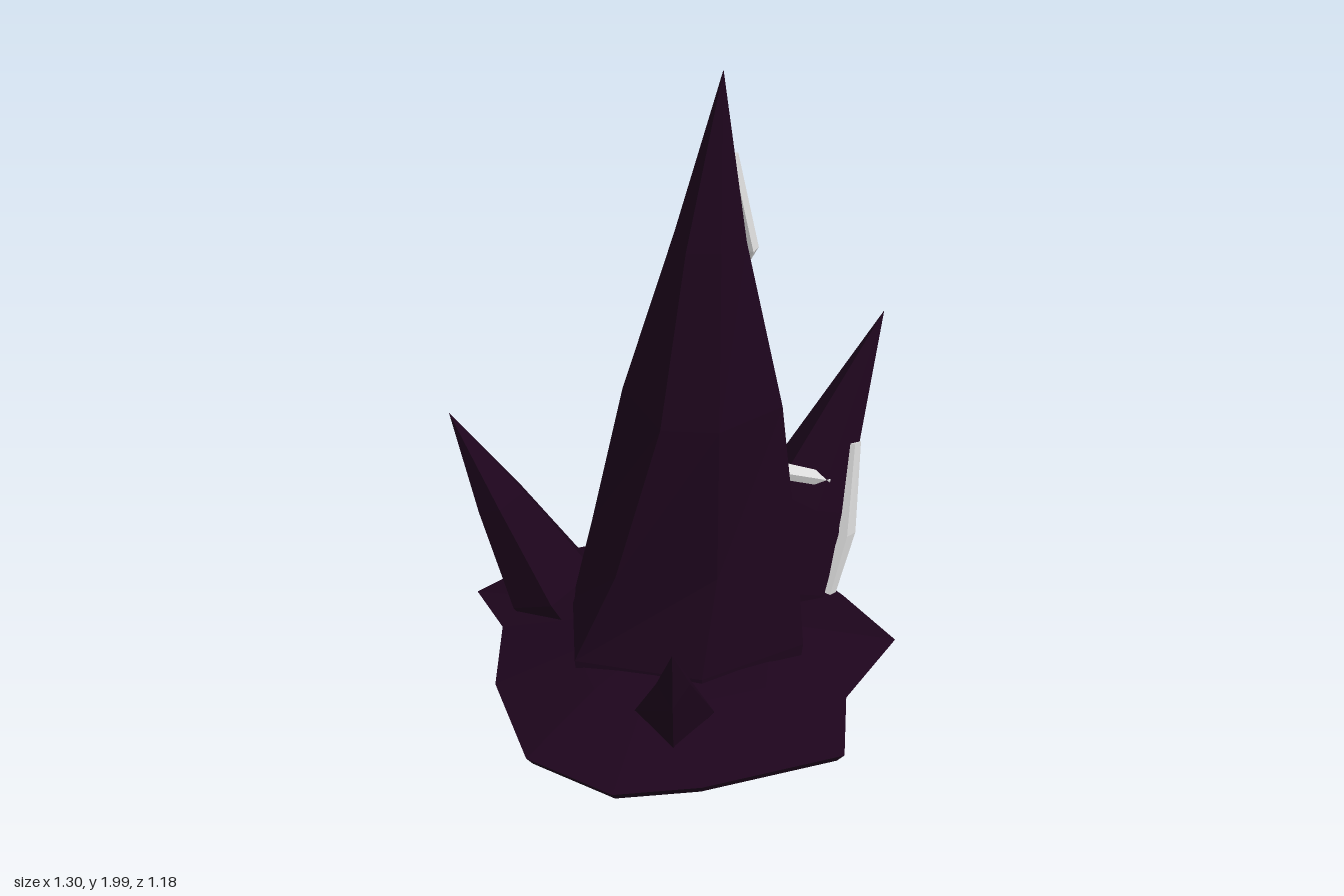
import * as THREE from 'three';

const V = (x, y, z) => new THREE.Vector3(x, y, z);

// Faceted skin over a stack of rings, closed by a fan to a point at each end.
function loft(rings, startPoint, endPoint) {
  const out = [];
  const tri = (a, b, c) => out.push(...a.toArray(), ...b.toArray(), ...c.toArray());
  const n = rings[0].length;
  const mid = (r) => r.reduce((s, p) => s.add(p), V(0, 0, 0)).divideScalar(n);
  const last = rings[rings.length - 1];
  const start = startPoint ?? mid(rings[0]);
  const end = endPoint ?? mid(last);
  for (let k = 0; k < n; k++) {
    const m = (k + 1) % n;
    tri(start, rings[0][m], rings[0][k]);
    for (let i = 0; i + 1 < rings.length; i++) {
      tri(rings[i][k], rings[i][m], rings[i + 1][m]);
      tri(rings[i][k], rings[i + 1][m], rings[i + 1][k]);
    }
    tri(last[k], last[m], end);
  }
  const g = new THREE.BufferGeometry();
  g.setAttribute('position', new THREE.Float32BufferAttribute(out, 3));
  g.computeVertexNormals();
  return g;
}

// Horizontal ring from [x, z] pairs.
const level = (y, pairs) => pairs.map(([x, z]) => V(x, y, z));

// Leaning crystal: rings of [position along axis, depth radius, side radius], ending in a point.
function crystal(base, tip, sides, turn, profile) {
  const axis = tip.clone().sub(base);
  const a = axis.clone().normalize();
  const u = V(0, 1, 0).cross(a).normalize();
  const v = a.clone().cross(u);
  const rings = profile.map(([t, r, s]) => Array.from({ length: sides }, (_, k) => {
    const ang = turn + (k / sides) * Math.PI * 2;
    return base.clone().addScaledVector(axis, t)
      .addScaledVector(u, Math.cos(ang) * s).addScaledVector(v, Math.sin(ang) * r);
  }));
  return loft(rings, undefined, tip);
}

// Flat angular vein following a zigzag path, lying against a surface.
function vein(points, outward, halfWidth) {
  const path = points.map((p) => V(...p));
  const rings = path.map((p, i) => {
    const t = path[Math.min(i + 1, path.length - 1)].clone()
      .sub(path[Math.max(i - 1, 0)]).normalize();
    const side = t.clone().cross(outward).normalize();
    const up = t.clone().cross(side);
    const w = i === 0 || i === path.length - 1 ? halfWidth * 0.7 : halfWidth;
    return [[1, 1], [-1, 1], [-1, -1], [1, -1]].map(([s, d]) =>
      p.clone().addScaledVector(side, s * w).addScaledVector(up, d * 0.014));
  });
  return loft(rings);
}

export function createModel() {
  const group = new THREE.Group();
  const stone = new THREE.MeshStandardMaterial({ color: 0x1d051c, flatShading: true });
  stone.name = 'dark purple crystal';
  const pale = new THREE.MeshStandardMaterial({ color: 0xdadada, flatShading: true });
  pale.name = 'pale grey vein';
  const add = (name, geometry, material) => {
    const mesh = new THREE.Mesh(geometry, material);
    mesh.name = name;
    group.add(mesh);
  };

  // Irregular base slab
  const rim = [[-0.16, 0.59], [0.08, 0.56], [0.47, 0.43], [0.49, 0.19], [0.65, -0.07],
    [0.51, -0.28], [0.33, -0.5], [0.15, -0.595], [-0.09, -0.595], [-0.37, -0.49],
    [-0.6, -0.29], [-0.51, -0.12], [-0.51, 0.14], [-0.4, 0.45]];
  const scaled = (s) => rim.map(([x, z]) => [x * s, z * s]);
  add('baseSlab', loft([level(0.14, scaled(0.96)), level(0.175, rim),
    level(0.25, scaled(0.55))], V(0, 0.14, 0), V(0, 0.28, 0)), stone);

  // Tall central crystal
  const foot = [[-0.28, 0.15], [0.08, 0.23], [0.37, 0.07], [0.31, -0.19],
    [0.15, -0.36], [-0.07, -0.35], [-0.3, -0.14]];
  add('centralCrystal', loft([
    level(0.085, foot.map(([x, z]) => [x * 0.95, z * 0.95])),
    level(0.27, foot),
    level(0.57, [[-0.16, 0.155], [0.12, 0.16], [0.345, 0.05], [0.265, -0.17],
      [0.15, -0.3], [-0.06, -0.3], [-0.235, -0.12]]),
    level(1.05, [[-0.035, 0.15], [0.12, 0.16], [0.29, 0.03], [0.26, -0.1],
      [0.14, -0.2], [-0.03, -0.19], [-0.14, -0.06]]),
    level(1.54, [[0.03, 0.085], [0.12, 0.085], [0.185, 0.02], [0.175, -0.06],
      [0.12, -0.11], [0.05, -0.1], [0, -0.03]]),
  ], undefined, V(0.12, 2, 0)), stone);

  // Smaller leaning crystals
  add('backCrystal', crystal(V(0.23, 0.085, -0.265), V(0.61, 1.01, -0.56), 6, Math.PI / 6,
    [[0, 0.17, 0.16], [0.17, 0.175, 0.175], [0.42, 0.135, 0.138]]), stone);
  add('sideCrystal', crystal(V(-0.26, 0.085, -0.19), V(-0.65, 0.81, -0.305), 5, Math.PI / 2,
    [[0, 0.1, 0.1], [0.25, 0.145, 0.145], [0.63, 0.08, 0.08]]), stone);
  add('frontCrystal', crystal(V(0.005, 0.085, 0.23), V(0, 0.655, 0.59), 4, -Math.PI / 2,
    [[0, 0.1, 0.11], [0.28, 0.12, 0.11], [0.65, 0.072, 0.045]]), stone);

  // Zigzag vein down the central crystal, then across to the back crystal
  add('centralVein', vein([[0.138, 1.74, -0.07], [0.188, 1.48, -0.07], [0.13, 1.33, -0.142],
    [0.12, 1.19, -0.17], [0.21, 1.08, -0.147], [0.205, 0.94, -0.165],
    [0.12, 0.83, -0.245], [0.1, 0.68, -0.275]], V(0.5, 0.1, -0.85), 0.028), pale);
  add('bridgeVein', vein([[0.1, 0.7, -0.26], [0.28, 0.635, -0.285], [0.45, 0.57, -0.325]],
    V(0, 1, 0.3), 0.022), pale);

  // Veins on the back crystal: one bent strip, and two strips meeting in a V
  add('outerVein', vein([[0.528, 0.65, -0.405], [0.515, 0.38, -0.318], [0.465, 0.2, -0.265]],
    V(0.85, 0, 0.5), 0.03), pale);
  const corner = [0.07, 0.33, -0.38];
  for (const end of [[0.4, 0.44, -0.525], [0.31, 0.195, -0.495]]) {
    add('backVein', vein([corner, end], V(-0.4, 0, -0.9), 0.028), pale);
  }

  // Stand exactly on the ground
  const box = new THREE.Box3().setFromObject(group);
  group.children.forEach((m) => m.geometry.translate(0, -box.min.y, 0));
  return group;
}
